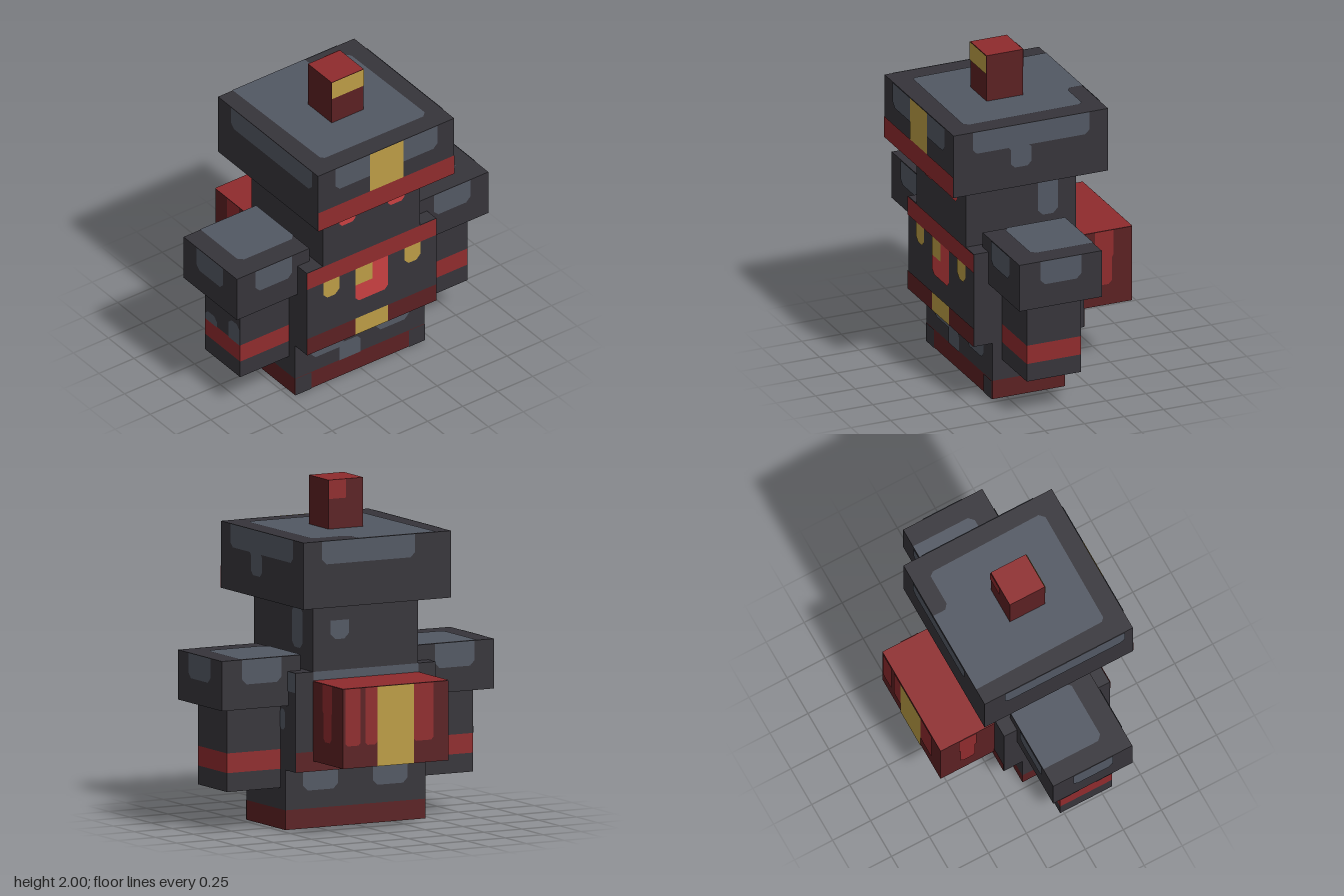
import * as THREE from 'three';

const paint = (name, color) => {
  const m = new THREE.MeshStandardMaterial({ color, side: THREE.DoubleSide });
  m.name = name;
  return m;
};

export function createModel() {
  const dark = paint('charcoal', 0x36343a);
  const slate = paint('slate', 0x525863);
  const red = paint('red', 0x8f2b2d);
  const maroon = paint('maroon', 0x5b2022);
  const bright = paint('brightRed', 0xc84041);
  const gold = paint('gold', 0xbb9c45);
  const model = new THREE.Group();
  model.name = 'armouredFigure';

  // Box given by its limits on each axis
  function box(name, mat, x0, x1, y0, y1, z0, z1) {
    const mesh = new THREE.Mesh(new THREE.BoxGeometry(x1 - x0, y1 - y0, z1 - z0), mat);
    mesh.position.set((x0 + x1) / 2, (y0 + y1) / 2, (z0 + z1) / 2);
    mesh.name = name;
    model.add(mesh);
  }

  // Painted outline laid on an axis-aligned face: 'z' uses (x,y), 'x' uses (z,y), 'y' uses (x,z)
  function outline(name, mat, axis, at, pts) {
    const geo = new THREE.ShapeGeometry(new THREE.Shape(pts.map(p => new THREE.Vector2(...p))));
    const pos = geo.attributes.position;
    for (let i = 0; i < pos.count; i++) {
      const u = pos.getX(i), v = pos.getY(i);
      if (axis === 'z') pos.setXYZ(i, u, v, at);
      else if (axis === 'x') pos.setXYZ(i, at, v, u);
      else pos.setXYZ(i, u, at, v);
    }
    geo.computeVertexNormals();
    const mesh = new THREE.Mesh(geo, mat);
    mesh.name = name;
    model.add(mesh);
  }

  // Painted rectangle, with optional clipped lower and upper corners
  function patch(name, mat, axis, at, u0, u1, v0, v1, lo = 0, hi = 0) {
    outline(name, mat, axis, at, [[u0 + lo, v0], [u1 - lo, v0], [u1, v0 + lo], [u1, v1 - hi],
      [u1 - hi, v1], [u0 + hi, v1], [u0, v1 - hi], [u0, v0 + lo]]);
  }
  const e = 0.004, c = 0.03;

  // Main blocks
  box('baseTrim', maroon, -0.465, 0.46, 0, 0.115, -0.12, 0.34);
  box('base', dark, -0.465, 0.46, 0.115, 0.35, -0.12, 0.34);
  box('body', dark, -0.465, 0.46, 0.35, 0.93, -0.24, 0.455);
  box('head', dark, -0.35, 0.345, 0.93, 1.32, -0.24, 0.455);
  box('helmet', dark, -0.487, 0.485, 1.32, 1.71, -0.38, 0.595);
  box('crest', maroon, -0.115, 0.113, 1.71, 2, -0.01, 0.22);
  box('backpack', maroon, -0.35, 0.345, 0.41, 0.875, -0.595, -0.24);

  // Arms with bands and shoulder plates
  for (const s of [-1, 1]) {
    const span = (a, b) => s > 0 ? [a, b] : [-b, -a];
    const arm = span(0.46, 0.812);
    box('hand', dark, ...arm, 0.24, 0.35, -0.062, 0.28);
    box('armBand', red, ...arm, 0.35, 0.465, -0.062, 0.28);
    box('arm', dark, ...arm, 0.465, 0.73, -0.062, 0.28);
    box('shoulder', dark, ...span(0.38, 0.898), 0.73, 1.02, -0.155, 0.365);
    patch('shoulderPatch', slate, 'z', 0.365 + e, ...span(0.507, 0.767), 0.875, 1.02, c);
    patch('shoulderPatch', slate, 'z', -0.155 - e, ...span(0.507, 0.767), 0.875, 1.02, c);
    patch('shoulderPatch', slate, 'x', s * (0.898 + e), -0.025, 0.235, 0.875, 1.02, c);
    patch('shoulderTopPatch', slate, 'y', 1.02 + e, ...span(0.38, 0.78), -0.155, 0.235, 0, c);
  }
  patch('armPatch', slate, 'x', -0.812 - e, -0.06, 0.06, 0.465, 0.53, 0, c);
  patch('armPatch', slate, 'x', -0.812 - e, 0.17, 0.28, 0.465, 0.6, 0, c);

  // Base markings
  for (const s of [-1, 1])
    patch('baseTrimCorner', dark, 'z', 0.34 + e, s < 0 ? -0.465 : 0.345, s < 0 ? -0.35 : 0.46, 0, 0.115);
  outline('basePatch', slate, 'z', 0.34 + e, [[-0.35, 0.35], [-0.35, 0.24], [-0.32, 0.21], [-0.15, 0.21],
    [-0.15, 0.115], [0, 0.115], [0, 0.21], [-0.025, 0.235], [-0.12, 0.235], [-0.12, 0.35]]);
  patch('basePatch', slate, 'z', 0.34 + e, 0.115, 0.345, 0.21, 0.35, c);
  patch('basePatch', slate, 'z', -0.12 - e, 0.115, 0.345, 0.22, 0.35, c);
  patch('basePatch', slate, 'z', -0.12 - e, -0.345, -0.115, 0.22, 0.35, c);

  // Chest and belt
  const chest = 0.455 + e;
  patch('collar', red, 'z', chest, -0.465, 0.46, 0.815, 0.93);
  patch('belt', maroon, 'z', chest, -0.465, -0.12, 0.35, 0.465);
  patch('belt', maroon, 'z', chest, 0.113, 0.46, 0.35, 0.465);
  patch('beltBuckle', gold, 'z', chest, -0.12, 0.113, 0.35, 0.465);
  patch('chestStud', gold, 'z', chest, -0.35, -0.235, 0.7, 0.815, c);
  patch('chestStud', gold, 'z', chest, 0.23, 0.345, 0.7, 0.815, c);
  patch('chestClasp', gold, 'z', chest, -0.12, 0, 0.7, 0.815);
  outline('chestGem', bright, 'z', chest, [[0, 0.815], [0, 0.7], [-0.12, 0.7], [-0.12, 0.61],
    [-0.095, 0.585], [0.09, 0.585], [0.113, 0.61], [0.113, 0.815]]);
  patch('beltBack', maroon, 'z', -0.24 - e, -0.465, 0.46, 0.35, 0.465);
  patch('backPatch', slate, 'z', -0.24 - e, -0.35, 0.345, 0.815, 0.93);
  patch('sidePatch', slate, 'x', 0.46 + e, -0.24, -0.155, 0.815, 0.93);
  patch('sidePatch', slate, 'x', 0.46 + e, -0.125, -0.06, 0.585, 0.705, 0.02, 0.02);

  // Face
  patch('browPlate', gold, 'z', chest, -0.12, 0.113, 1.28, 1.32);
  patch('eye', bright, 'z', chest, -0.235, -0.12, 1.165, 1.28, 0.02, 0.015);
  patch('eye', bright, 'z', chest, 0.113, 0.23, 1.165, 1.28, 0.02, 0.015);
  patch('headPatch', slate, 'x', 0.345 + e, -0.125, 0, 1.05, 1.29, c, c);
  patch('headPatch', slate, 'z', -0.24 - e, 0.11, 0.23, 1.11, 1.22, c);

  // Helmet markings
  const brim = 0.595 + e;
  patch('helmetBand', red, 'z', brim, -0.487, 0.485, 1.32, 1.45);
  patch('helmetStripe', gold, 'z', brim, -0.12, 0.12, 1.45, 1.71);
  outline('helmetPatch', slate, 'z', brim, [[-0.365, 1.71], [-0.365, 1.59], [-0.335, 1.56], [-0.12, 1.56], [-0.12, 1.71]]);
  outline('helmetPatch', slate, 'z', brim, [[0.365, 1.71], [0.365, 1.59], [0.335, 1.56], [0.12, 1.56], [0.12, 1.71]]);
  outline('helmetPatch', slate, 'x', 0.485 + e, [[0.475, 1.71], [0.475, 1.6], [0.45, 1.575], [0.25, 1.575],
    [0.235, 1.56], [0.235, 1.47], [0.21, 1.445], [0.13, 1.445], [0.105, 1.47], [0.105, 1.56],
    [0.12, 1.575], [-0.235, 1.575], [-0.26, 1.6], [-0.26, 1.71]]);
  patch('helmetPatch', slate, 'x', -0.487 - e, -0.25, 0.54, 1.575, 1.71, c);
  patch('helmetPatch', slate, 'z', -0.38 - e, -0.25, 0.365, 1.575, 1.71, c);
  outline('helmetTopPatch', slate, 'y', 1.71 + e, [[-0.385, -0.38], [0.13, -0.38], [0.13, -0.3],
    [0.16, -0.275], [0.35, -0.275], [0.37, -0.25], [0.38, 0.45], [0.35, 0.48], [-0.35, 0.475], [-0.37, 0.455]]);

  // Crest details
  patch('crestTop', red, 'y', 2 - 0.0005 + 0.001, -0.115, 0.113, -0.01, 0.22);
  patch('crestFront', gold, 'z', 0.22 + e, -0.115, 0.113, 1.885, 2);
  patch('crestBack', red, 'z', -0.01 - e, 0, 0.113, 1.89, 2);

  // Backpack details
  const pack = -0.595 - e;
  patch('packTop', red, 'y', 0.875 + e, -0.35, 0.345, -0.595, -0.24);
  patch('packStrap', gold, 'z', pack, -0.12, 0.12, 0.41, 0.875);
  patch('packStripe', red, 'z', pack, 0.12, 0.2, 0.54, 0.875, 0.015);
  patch('packStripe', red, 'z', pack, 0.23, 0.33, 0.54, 0.875, 0.015);
  patch('packStripe', red, 'z', pack, -0.25, -0.12, 0.54, 0.875, 0.015);
  for (const x of [0.345 + e, -0.35 - e])
    outline('packSideStripe', red, 'x', x, [[-0.36, 0.875], [-0.36, 0.72], [-0.372, 0.705], [-0.372, 0.56],
      [-0.39, 0.54], [-0.445, 0.54], [-0.465, 0.56], [-0.465, 0.705], [-0.475, 0.72], [-0.475, 0.875]]);

  return model;
}
